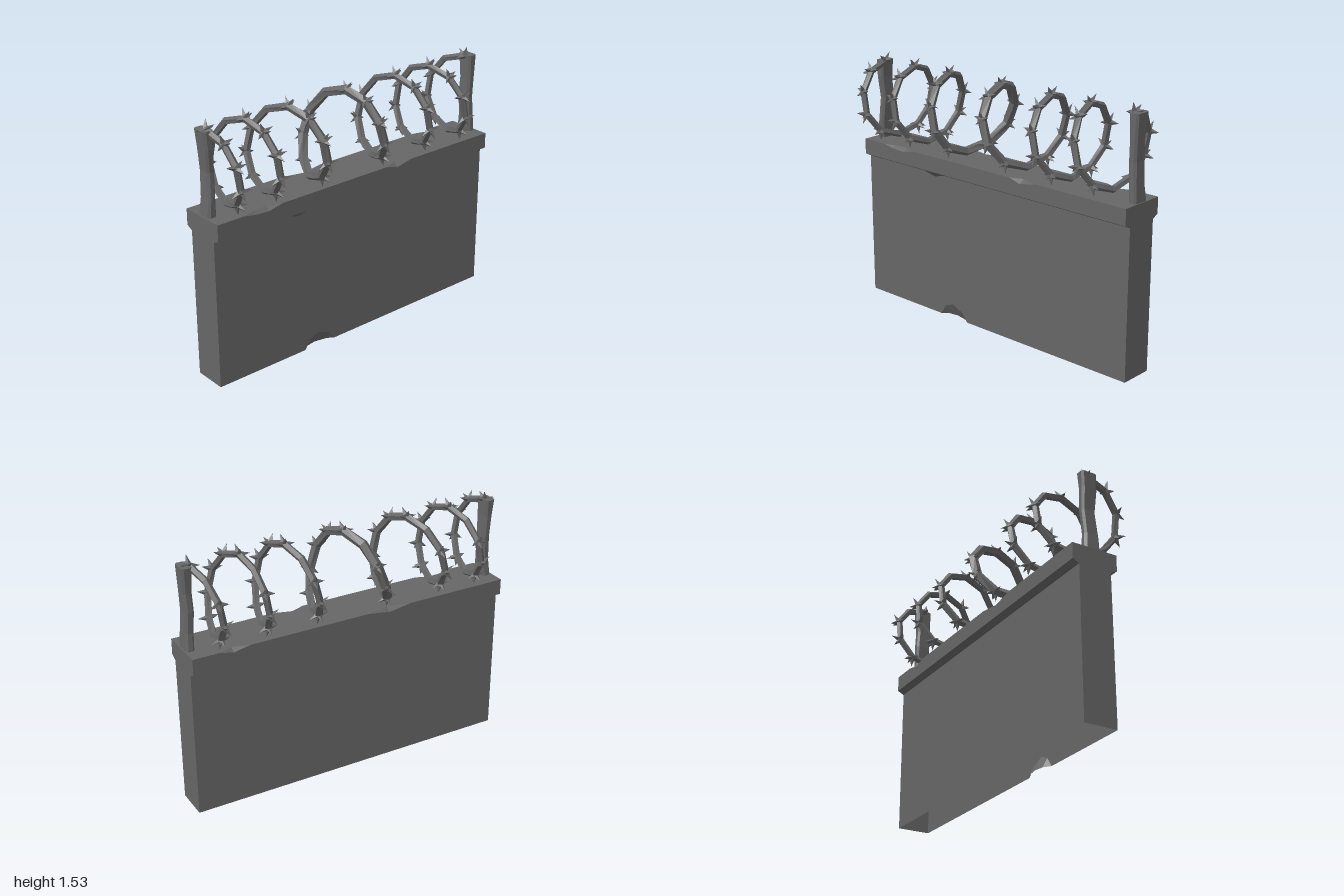
import * as THREE from 'three';

const concrete = new THREE.MeshStandardMaterial({ color: 0x666666, side: THREE.DoubleSide });
concrete.name = 'dark grey';
const V = (x, y, z) => new THREE.Vector3(x, y, z);

// Flat-shaded skin over a row of cross-sections, with fanned ends
function loft(rings, closed = true, centre = null) {
  const pos = [];
  const tri = (...pts) => pts.forEach(p => pos.push(p.x, p.y, p.z));
  const n = rings[0].length;
  for (let i = 0; i < rings.length - 1; i++) {
    for (let j = 0; j < (closed ? n : n - 1); j++) {
      const k = (j + 1) % n;
      const a = rings[i][j], b = rings[i][k], c = rings[i + 1][k], d = rings[i + 1][j];
      tri(a, b, c);
      tri(a, c, d);
    }
  }
  for (const [ring, flip] of [[rings[0], true], [rings[rings.length - 1], false]]) {
    const mid = ring.reduce((s, p) => s.add(p), V(0, 0, 0)).divideScalar(n);
    if (centre) mid.set(ring[0].x, centre.y, centre.z);
    for (let j = 0; j < n; j++) {
      const a = ring[j], b = ring[(j + 1) % n];
      if (flip) tri(mid, b, a); else tri(mid, a, b);
    }
  }
  const g = new THREE.BufferGeometry();
  g.setAttribute('position', new THREE.Float32BufferAttribute(pos, 3));
  g.computeVertexNormals();
  return g;
}

function addMesh(parent, geometry, name) {
  const m = new THREE.Mesh(geometry, concrete);
  m.name = name;
  parent.add(m);
  return m;
}

// Wall with an overhanging cap, open underneath; stations carry the chips:
// [x, front top chip, back top chip, base chip depth, base chip height, lip drop]
function wall() {
  const stations = [
    [-1, 0, 0, 0, 0, 0], [-0.83, 0, 0, 0, 0, 0], [-0.75, 0.015, 0, 0, 0, 0],
    [-0.66, 0.02, 0, 0, 0, 0], [-0.57, 0, 0, 0, 0, 0], [-0.5, 0, 0, 0, 0, 0],
    [-0.43, 0, 0, 0, 0, 0.02], [-0.4, 0, 0, 0, 0, 0.01], [-0.36, 0, 0, 0.03, 0.06, 0],
    [-0.3, 0, 0.01, 0.04, 0.085, 0], [-0.22, 0, 0.022, 0.025, 0.05, 0], [-0.18, 0, 0.015, 0, 0, 0],
    [-0.08, 0, 0, 0, 0, 0], [0.19, 0, 0, 0, 0, 0], [0.27, 0.022, 0, 0, 0, 0],
    [0.38, 0, 0, 0, 0, 0], [0.66, 0, 0, 0, 0, 0], [0.76, 0, 0.02, 0, 0, 0],
    [0.84, 0, 0, 0, 0, 0], [1, 0, 0, 0, 0, 0],
  ];
  const rings = stations.map(([x, f, b, d, h, lip]) => [
    [0, -0.1], [0.885, -0.1], [0.905, -0.14], [1 - b, -0.14], [1, -0.14 + b * 1.5],
    [1, 0.14 - f * 1.5], [1 - f, 0.14], [0.905, 0.14], [0.885 - lip, 0.1], [h, 0.1], [0, 0.1 - d],
  ].map(([y, z]) => V(x, y, z)));
  return loft(rings, false, V(0, 0.95, 0));
}

// Slightly crooked post with bevelled corners; levels are [y, x, z, width, depth]
function post(levels) {
  return loft(levels.map(([y, x, z, w, d]) => {
    const a = w / 2, b = d / 2, c = 0.012;
    return [[-a + c, b], [a - c, b], [a, b - c], [a, -b + c], [a - c, -b], [-a + c, -b], [-a, -b + c], [-a, b - c]]
      .map(([px, pz]) => V(x + px, y, z + pz));
  }));
}

// x of the coil at every quarter turn: top, front, bottom, back, ...
const quarterX = [-0.95, -0.91, -0.84, -0.78, -0.70, -0.65, -0.59, -0.53, -0.41, -0.33, -0.27, -0.11,
  0, 0.07, 0.20, 0.29, 0.37, 0.43, 0.52, 0.59, 0.64, 0.72, 0.81, 0.85, 0.93];
const PER_TURN = 10, TURNS = 6, RADIUS = 0.22;

function coilFrames() {
  const pts = [], radial = [];
  for (let i = 0; i <= PER_TURN * TURNS; i++) {
    const q = i * 4 / PER_TURN, k = Math.min(Math.floor(q), quarterX.length - 2);
    const x = THREE.MathUtils.lerp(quarterX[k], quarterX[k + 1], q - k);
    const a = i / PER_TURN * Math.PI * 2;
    radial.push(V(0, Math.cos(a), Math.sin(a)));
    pts.push(V(x, 1.253 + RADIUS * Math.cos(a), RADIUS * 1.02 * Math.sin(a)));
  }
  return pts.map((p, i) => {
    const t = pts[Math.min(i + 1, pts.length - 1)].clone().sub(pts[Math.max(i - 1, 0)]).normalize();
    const b = t.clone().cross(radial[i]).normalize();
    const r = b.clone().cross(t).normalize();
    return { p, t, b, r, size: 0.021 + 0.009 * Math.exp(-Math.pow((p.x + 0.1) / 0.3, 2)) };
  });
}

export function createModel() {
  const model = new THREE.Group();
  model.name = 'barbedWall';
  addMesh(model, wall(), 'wall');

  // Posts at both ends
  addMesh(model, post([[0.99, -0.963, 0, 0.055, 0.1], [1.1, -0.958, 0.005, 0.045, 0.09],
    [1.25, -0.95, -0.005, 0.045, 0.085], [1.38, -0.958, 0, 0.05, 0.095], [1.48, -0.96, -0.005, 0.06, 0.1]]), 'rightPost');
  addMesh(model, post([[0.99, 0.97, 0, 0.05, 0.11], [1.1, 0.962, 0.005, 0.05, 0.09],
    [1.22, 0.955, 0, 0.05, 0.09], [1.33, 0.958, 0.005, 0.05, 0.085], [1.48, 0.96, 0, 0.06, 0.1]]), 'leftPost');

  // Coiled wire, five-sided
  const frames = coilFrames();
  addMesh(model, loft(frames.map(({ p, r, b, size }) => Array.from({ length: 5 }, (_, j) => {
    const a = j / 5 * Math.PI * 2;
    return p.clone().addScaledVector(r, Math.cos(a) * size).addScaledVector(b, Math.sin(a) * size);
  }))), 'wireCoil');

  // Barbs: four spikes around the wire at most bends
  const barbs = new THREE.Group();
  barbs.name = 'barbs';
  model.add(barbs);
  const spike = new THREE.ConeGeometry(0.02, 0.062, 4).translate(0, 0.031, 0).toNonIndexed();
  spike.computeVertexNormals();
  frames.forEach(({ p, t, b, r }, i) => {
    if (i % PER_TURN === 9 || i % PER_TURN === 5) return;
    const tilt = i % 2 ? 0.4 : -0.4;
    const dirs = [
      b.clone().addScaledVector(t, tilt), b.clone().negate().addScaledVector(r, 0.3),
      r.clone().addScaledVector(t, 0.7), r.clone().addScaledVector(t, -0.7).addScaledVector(b, tilt),
    ];
    for (const d of dirs) {
      const s = addMesh(barbs, spike, 'barb');
      s.position.copy(p);
      s.quaternion.setFromUnitVectors(V(0, 1, 0), d.normalize());
    }
  });
  return model;
}
